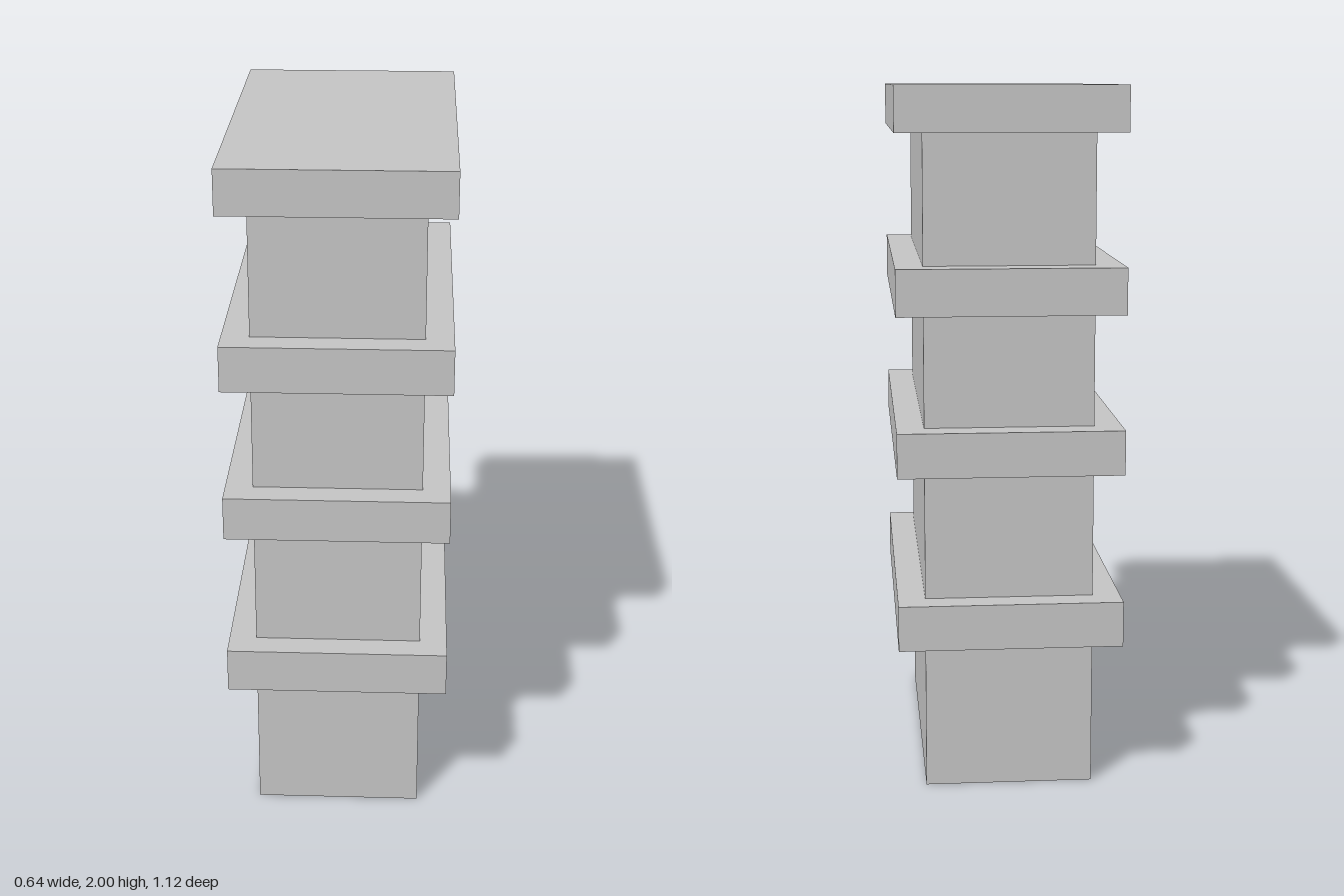
import * as THREE from 'three';

export function createModel() {
  const model = new THREE.Group();
  model.name = 'tieredTower';
  const stone = new THREE.MeshStandardMaterial({ color: 0xc4c4c4 });
  stone.name = 'lightGrey';

  // A box spanning two heights, centred on the vertical axis
  function block(name, width, depth, bottom, top) {
    const mesh = new THREE.Mesh(new THREE.BoxGeometry(width, top - bottom, depth), stone);
    mesh.name = name;
    mesh.position.y = (bottom + top) / 2;
    model.add(mesh);
  }

  // Bottom and top height of each projecting slab
  const slabs = [[0.43, 0.56], [0.927, 1.054], [1.377, 1.508], [1.873, 2]];

  // Each storey is a shaft section capped by a wider slab
  let base = 0;
  slabs.forEach(([bottom, top], i) => {
    block(`shaft${i + 1}`, 0.48, 0.957, base, bottom);
    block(i === slabs.length - 1 ? 'roofSlab' : `ledge${i + 1}`, 0.637, 1.116, bottom, top);
    base = top;
  });

  return model;
}
